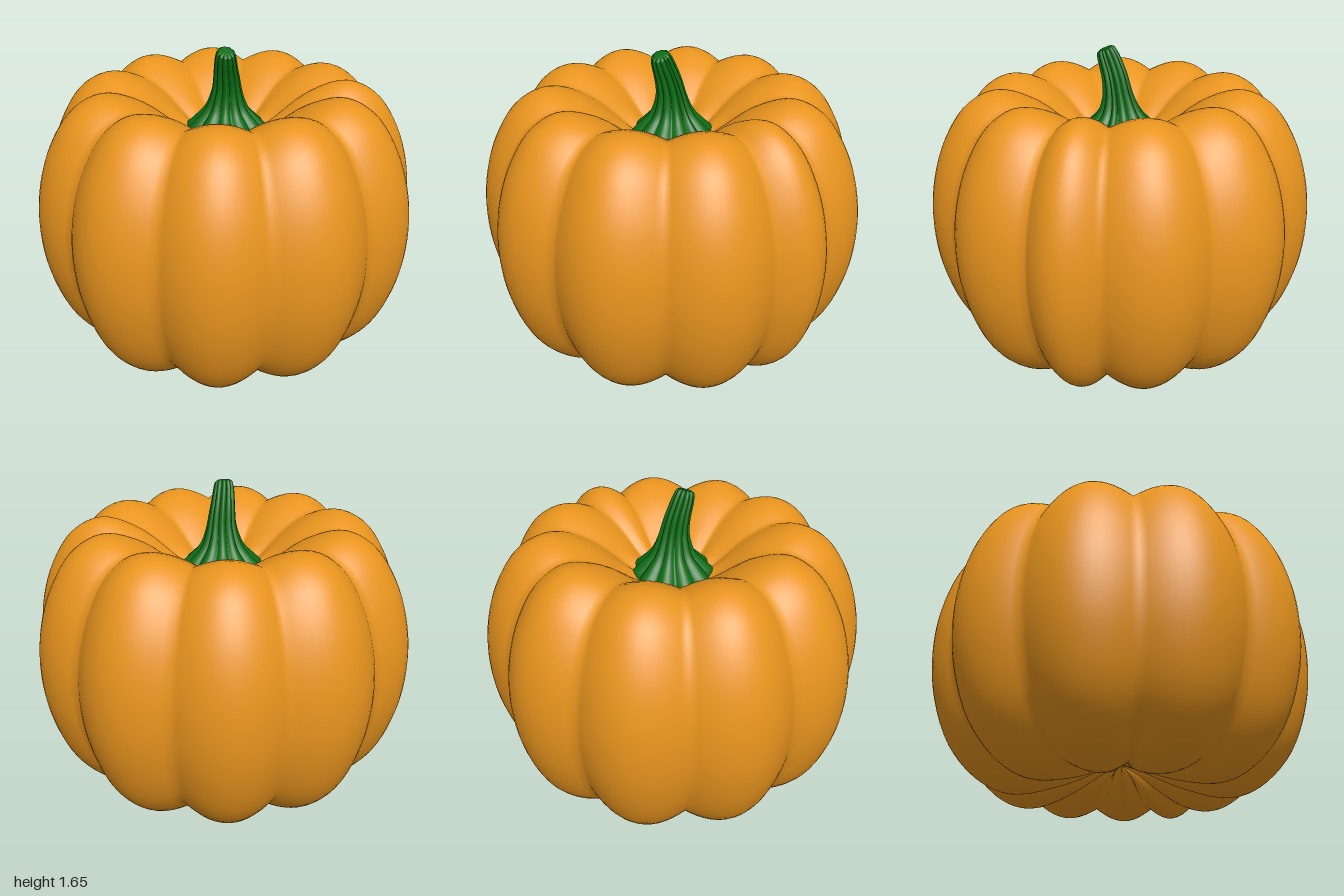
import * as THREE from 'three';

// Angles (degrees, from +x towards +z) of the grooves between the eleven lobes
const GROOVES = [0, 22, 56, 90, 123, 157, 191, 225, 259, 293, 327, 360];
const STEPS = 14;

// Columns around the axis: angle and lobe bulge (0 in a groove, 1 on a crest)
function lobeColumns() {
  const cols = [];
  for (let k = 0; k < GROOVES.length - 1; k++) {
    for (let s = 0; s < STEPS; s++) {
      const t = s / STEPS;
      cols.push({
        angle: THREE.MathUtils.degToRad(THREE.MathUtils.lerp(GROOVES[k], GROOVES[k + 1], t)),
        bulge: Math.sin(Math.PI * t),
      });
    }
  }
  return cols;
}

// Closed skin over rows running bottom to top; place(row, column) gives a point
function ribbedSkin(rows, place) {
  const cols = lobeColumns();
  const n = cols.length;
  const positions = [];
  const index = [];
  rows.forEach((row, i) => {
    cols.forEach((col, j) => {
      positions.push(...place(row, col));
      if (i === rows.length - 1) return;
      const a = i * n + j;
      const b = i * n + (j + 1) % n;
      index.push(a, a + n, b, b, a + n, b + n);
    });
  });
  const geometry = new THREE.BufferGeometry();
  geometry.setAttribute('position', new THREE.Float32BufferAttribute(positions, 3));
  geometry.setIndex(index);
  geometry.computeVertexNormals();
  return geometry;
}

function smoothRows(points, count) {
  return new THREE.CatmullRomCurve3(points.map((p) => new THREE.Vector3(...p))).getPoints(count);
}

export function createModel() {
  const group = new THREE.Group();

  // Body: crest profile (radius, height), pulled inwards along the grooves
  const bodyRows = smoothRows([
    [0, 0.17, 0], [0.1, 0.135, 0], [0.3, 0.05, 0], [0.55, 0, 0], [0.71, 0.06, 0],
    [0.87, 0.23, 0], [0.97, 0.49, 0], [1, 0.75, 0], [0.975, 0.99, 0], [0.9, 1.21, 0],
    [0.78, 1.38, 0], [0.63, 1.448, 0], [0.44, 1.39, 0], [0.2, 1.21, 0], [0, 1.12, 0],
  ], 64);
  const bodyGeometry = ribbedSkin(bodyRows, (row, { angle, bulge }) => {
    const r = Math.max(row.x, 0) * 1.01 * (1 - 0.08 * (1 - bulge));
    const y = 0.725 + (row.y - 0.725) * (1 - 0.08 * (1 - bulge));
    return [0.005 + r * Math.cos(angle), y, 0.01 + r * Math.sin(angle)];
  });
  const body = new THREE.Mesh(bodyGeometry, new THREE.MeshStandardMaterial({ color: 0xe8941e }));
  body.name = 'pumpkinBody';
  group.add(body);

  // Stem: (radius, height, forward bend), flared at the foot and closed at the tip
  const stemRows = smoothRows([
    [0.215, 1.14, 0.01], [0.215, 1.2, 0.01], [0.17, 1.25, 0.01], [0.115, 1.31, 0.01],
    [0.08, 1.4, 0.02], [0.065, 1.5, 0.04], [0.052, 1.6, 0.075], [0.045, 1.625, 0.085],
  ], 30);
  stemRows.push(new THREE.Vector3(0.03, 1.635, 0.085), new THREE.Vector3(0, 1.63, 0.085));
  const stemGeometry = ribbedSkin(stemRows, (row, { angle, bulge }) => {
    const r = row.x * (0.84 + 0.18 * bulge);
    const z = r * Math.sin(angle);
    // Tilt the upper rings with the bend
    const tilt = 0.4 * THREE.MathUtils.smoothstep(row.y, 1.35, 1.62);
    const lean = -0.02 * THREE.MathUtils.smoothstep(row.y, 1.4, 1.64);
    return [0.01 + lean + r * Math.cos(angle), row.y - z * tilt, row.z + z];
  });
  const stem = new THREE.Mesh(stemGeometry, new THREE.MeshStandardMaterial({ color: 0x0b6b14 }));
  stem.name = 'stem';
  group.add(stem);

  return group;
}
